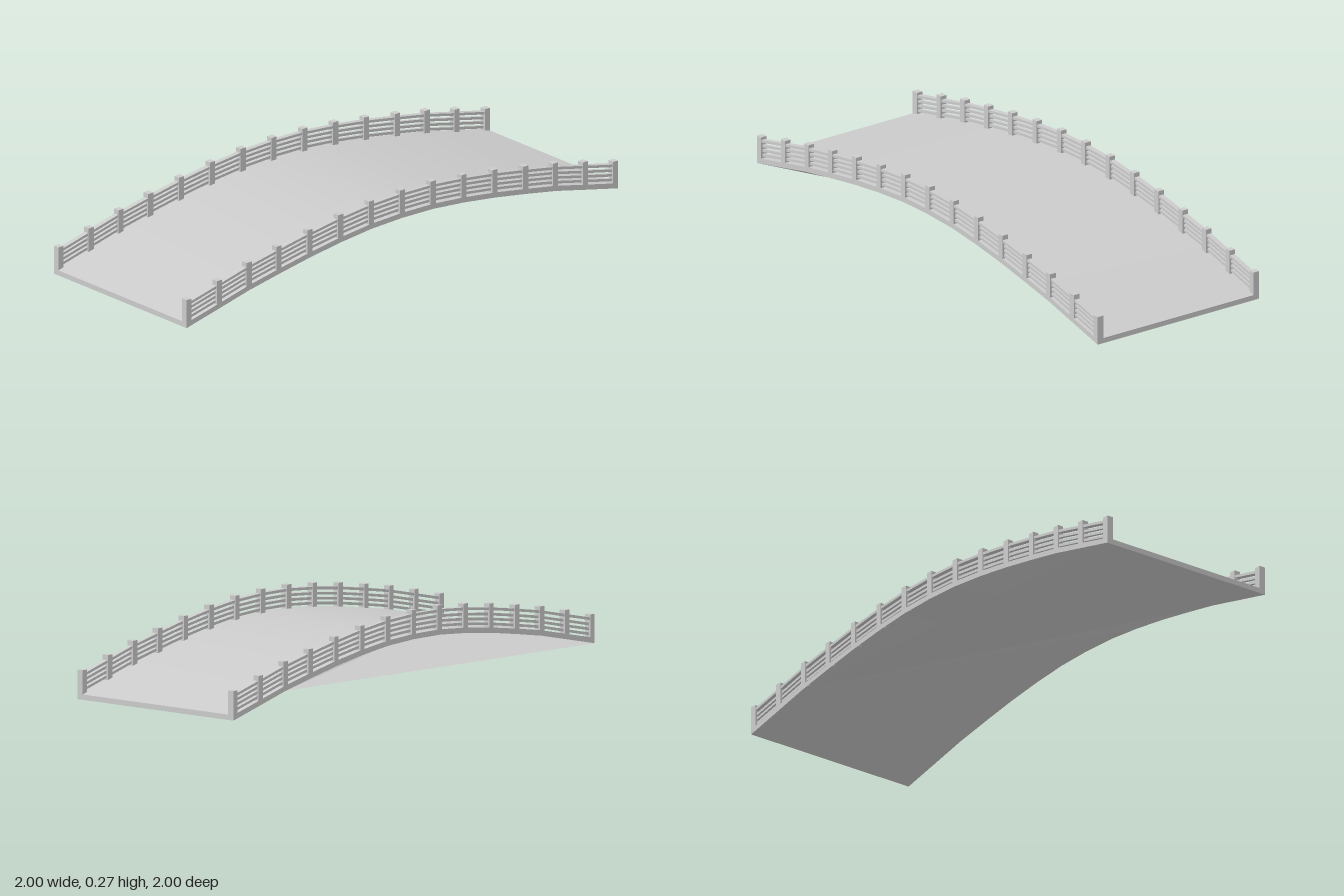
import * as THREE from 'three';

const HALF_WIDTH = 0.364, SLAB = 0.02, POST = 0.025;

// Half of the arch, from the crown outwards: [distance along the bridge, deck height]
const half = [[0, 0.178], [0.15, 0.174], [0.3, 0.16], [0.45, 0.14], [0.6, 0.115], [0.745, 0.089], [0.89, 0.056], [1.05, 0.02]];
const profile = [...half.slice(1).reverse().map(([x, y]) => [-x, y]), ...half];

const material = new THREE.MeshStandardMaterial({ color: 0xcccccc, side: THREE.DoubleSide });

function addMesh(parent, geometry, name) {
  const mesh = new THREE.Mesh(geometry, material);
  mesh.name = name;
  parent.add(mesh);
  return mesh;
}

// Surface between two lines holding the same number of points
function strip(a, b, flat = false) {
  const index = [];
  for (let i = 0; i < a.length - 1; i++) {
    const n = a.length;
    index.push(i, n + i, i + 1, n + i, n + i + 1, i + 1);
  }
  let geometry = new THREE.BufferGeometry().setFromPoints([...a, ...b]);
  geometry.setIndex(index);
  if (flat) geometry = geometry.toNonIndexed();
  geometry.computeVertexNormals();
  return geometry;
}

// Edge of the slab along the arch
const edge = (z, drop) => profile.map(([x, y]) => new THREE.Vector3(x, y - drop, z));

function createDeck() {
  const deck = new THREE.Group();
  deck.name = 'deck';
  const topBack = edge(-HALF_WIDTH, 0), topFront = edge(HALF_WIDTH, 0);
  const lowBack = edge(-HALF_WIDTH, SLAB), lowFront = edge(HALF_WIDTH, SLAB);
  const last = profile.length - 1;

  addMesh(deck, strip(topBack, topFront), 'walkway');
  addMesh(deck, strip(topFront, lowFront), 'frontFascia');
  addMesh(deck, strip(lowBack, topBack), 'backFascia');
  addMesh(deck, strip([lowBack[last], lowFront[last]], [topBack[last], topFront[last]]), 'leftEnd');
  addMesh(deck, strip([lowFront[0], lowBack[0]], [topFront[0], topBack[0]]), 'rightEnd');

  // Underside: follows the arch at the front, fans to one point of the back edge
  const hub = lowBack[last - 2];
  const backLine = [lowBack[0], ...Array(last).fill(hub), lowBack[last]];
  addMesh(deck, strip([lowFront[0], ...lowFront], backLine, true), 'underside');
  return deck;
}

// Rail of rectangular section that follows the arch
function railGeometry(offset, height, depth) {
  const line = profile.map(([x, y]) => [x * 0.995, y + offset]);
  const outline = [...line, ...line.map(([x, y]) => [x, y + height]).reverse()];
  const shape = new THREE.Shape(outline.map(([x, y]) => new THREE.Vector2(x, y)));
  return new THREE.ExtrudeGeometry(shape, { depth, bevelEnabled: false }).translate(0, 0, -depth / 2);
}

function createRailing(side) {
  const railing = new THREE.Group();
  railing.name = side > 0 ? 'frontRailing' : 'backRailing';
  railing.position.z = side * (HALF_WIDTH - POST / 2);

  // Posts
  const postHeight = 0.095;
  for (const [x, y] of profile) {
    const post = addMesh(railing, new THREE.BoxGeometry(POST, postHeight, POST), 'post');
    const px = THREE.MathUtils.clamp(x, -1.05 + POST / 2, 1.05 - POST / 2);
    post.position.set(px, y - 0.006 + postHeight / 2, 0);
  }

  // Handrail and three lower rails
  addMesh(railing, railGeometry(0.064, 0.01, 0.02), 'handrail');
  for (const offset of [0.008, 0.026, 0.044]) {
    addMesh(railing, railGeometry(offset, 0.01, 0.012), 'lowerRail');
  }
  return railing;
}

export function createModel() {
  const bridge = new THREE.Group();
  bridge.name = 'footbridge';
  bridge.add(createDeck(), createRailing(1), createRailing(-1));
  // The bridge runs diagonally across the ground
  bridge.rotation.y = Math.PI / 4;

  const model = new THREE.Group();
  model.name = 'model';
  model.add(bridge);
  return model;
}
